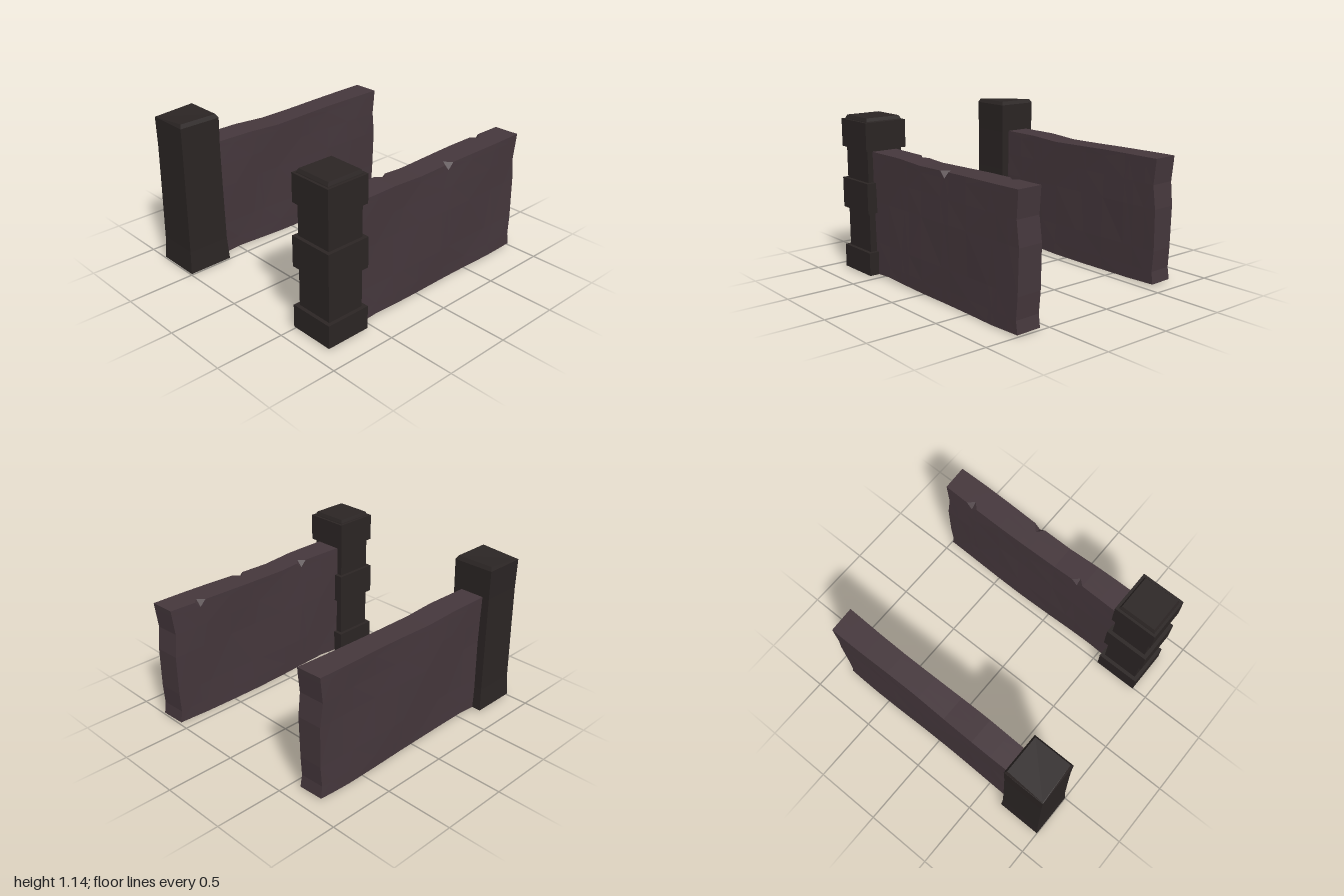
import * as THREE from 'three';

const stone = new THREE.MeshStandardMaterial({ color: 0x2b2524, flatShading: true });
const slab = new THREE.MeshStandardMaterial({ color: 0x45373c, flatShading: true });

// Linear interpolation through [position, value] pairs
function curve(pairs, t) {
  for (let i = 1; i < pairs.length; i++) {
    const [a, va] = pairs[i - 1], [b, vb] = pairs[i];
    if (t <= b) return va + (vb - va) * Math.max(0, (t - a) / (b - a));
  }
  return pairs[pairs.length - 1][1];
}

const topEdge = [[-1, 0.905], [-0.5, 0.9], [-0.27, 0.895], [0, 0.89], [0.25, 0.905], [0.7, 0.905]];
const bottomEdge = [[-1, 0.012], [-0.75, 0.003], [-0.27, 0.005], [0, 0.008], [0.42, 0.022], [0.6, 0.006], [0.7, 0]];
const endLevels = [0, 0.1, 0.25, 0.55, 0.72]; // heights of the rows on each face
const endWave = [[0, 0], [0.1, 0.015], [0.25, 0.004], [0.55, 0], [0.72, 0.02], [0.9, 0]];
const sections = [-1, -0.9, -0.795, -0.75, -0.705, -0.5, -0.315, -0.27, -0.225, 0, 0.155, 0.2, 0.245, 0.4, 0.55, 0.7];

// Weathered wall lofted along z; loop runs up +x face, over the top, down -x face, under
function wallGeometry(x0, x1, phase, notches) {
  const positions = [], index = [], N = 18;
  sections.forEach((z, i) => {
    const top = curve(topEdge, z), low = curve(bottomEdge, z);
    const heights = endLevels.map((h) => Math.max(h, low)).concat(top - 0.045, top);
    const face = (y, s) => 0.005 * Math.sin(z * 5 + y * 6 * s + phase);
    const ring = [];
    heights.forEach((y) => ring.push([x1 + face(y, 1), y]));
    [x1 - 0.055, (x0 + x1) / 2, x0 + 0.045].forEach((x) => ring.push([x, top]));
    heights.slice().reverse().forEach((y) => ring.push([x0 + face(y, -1), y]));
    ring.push([(x0 + x1) / 2, low]);
    // Chip: sink the top corner halfway between its two neighbours
    const e = notches[i];
    if (e) ring[e] = [0, 1].map((k) => (ring[e - 1][k] + ring[e + 1][k]) / 2);
    ring.forEach(([x, y]) => {
      const ragged = i === 0 ? curve(endWave, y) + 0.008 * (x1 - x) / (x1 - x0) : 0;
      positions.push(x, y, z + ragged);
    });
  });
  // Diamond triangulation keeps the chips crisp
  for (let i = 0; i < sections.length - 1; i++) {
    for (let j = 0; j < N; j++) {
      const k = (j + 1) % N;
      const a = i * N + j, b = i * N + k, c = a + N, d = b + N;
      if ((i + j) % 2 === 0) index.push(a, b, d, a, d, c);
      else index.push(a, b, c, b, d, c);
    }
  }
  // End caps
  const f = (sections.length - 1) * N;
  for (let j = 0; j < 6; j++) {
    const a = j, b = j + 1, c = 16 - j, d = 15 - j;
    index.push(a, c, b, b, c, d, f + a, f + b, f + c, f + b, f + d, f + c);
  }
  const g = new THREE.BufferGeometry();
  g.setAttribute('position', new THREE.Float32BufferAttribute(positions, 3));
  g.setIndex(index);
  g.computeVertexNormals();
  return g;
}

// Square column from [height, half width] levels
function columnGeometry(levels) {
  const n = levels.length - 1;
  const g = new THREE.BoxGeometry(1, 1, 1, 1, n, 1);
  const p = g.attributes.position;
  for (let i = 0; i < p.count; i++) {
    const [y, r] = levels[Math.round((p.getY(i) + 0.5) * n)];
    p.setXYZ(i, Math.sign(p.getX(i)) * r, y, Math.sign(p.getZ(i)) * r);
  }
  g.computeVertexNormals();
  return g;
}

function add(parent, name, geometry, material) {
  const mesh = new THREE.Mesh(geometry, material);
  mesh.name = name;
  parent.add(mesh);
  return mesh;
}

export function createModel() {
  const group = new THREE.Group();
  group.name = 'gateWalls';

  // Walls
  add(group, 'leftWall', wallGeometry(0.566, 0.754, 0, { 3: 10, 7: 6, 11: 10 }), slab);
  const right = add(group, 'rightWall', wallGeometry(-0.76, -0.575, 2, {}), slab);
  right.position.z = 0.115;

  // Banded post: shaft, three bands and a bevelled cap
  const banded = new THREE.Group();
  banded.name = 'bandedPost';
  banded.position.set(0.66, 0, 0.715);
  group.add(banded);
  add(banded, 'shaft', columnGeometry([[0.05, 0.14], [1.05, 0.14]]), stone);
  [[0.01, 0.178, 0.168], [0.465, 0.685, 0.167], [0.915, 1.115, 0.163]].forEach(([y0, y1, r]) =>
    add(banded, 'band', columnGeometry([[y0, r], [y1, r]]), stone));
  add(banded, 'cap', columnGeometry([[1.1, 0.147], [1.12, 0.143], [1.143, 0.132]]), stone);

  // Plain post with a flared foot and a worn, slanted top
  const geo = columnGeometry([[0.01, 0.168], [0.18, 0.158], [0.6, 0.154], [0.9, 0.152], [1.115, 0.155], [1.142, 0.14]]);
  const p = geo.attributes.position;
  for (let i = 0; i < p.count; i++) {
    if (p.getY(i) > 1.13 && p.getX(i) < 0 && p.getZ(i) > 0) p.setXYZ(i, -0.15, 1.118, 0.15);
  }
  const plain = add(group, 'plainPost', geo, stone);
  plain.position.set(-0.665, 0, 0.832);

  return group;
}
